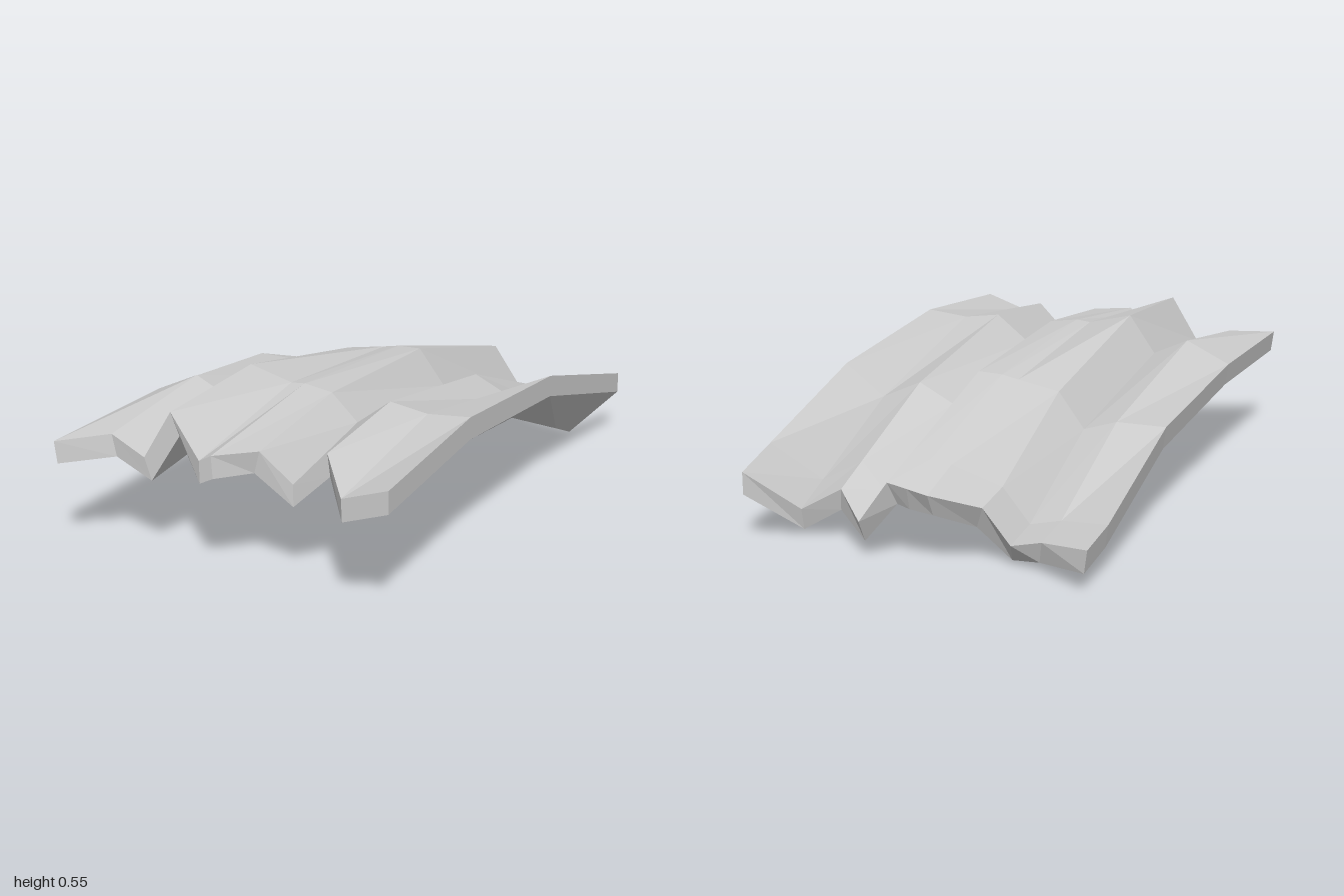
import * as THREE from 'three';

// One row per fold line: front x, z, y | crest y | back x, z, y | underside shift in x, and in z at the back
const folds = [
  [-0.615, 1.0, 0.40, 0.405, -0.6, -0.98, 0.147, 0.01, 0],
  [-0.465, 0.885, 0.415, 0.48, -0.41, -0.885, 0.112, 0.017, 0.025],
  [-0.33, 0.895, 0.36, 0.42, -0.3, -0.875, 0.082, 0.027, 0.075],
  [-0.23, 0.88, 0.53, 0.555, -0.21, -0.89, 0.2, 0.033, 0.03],
  [-0.06, 0.975, 0.425, 0.515, -0.07, -0.995, 0.255, 0, 0.04],
  [-0.015, 0.975, 0.45, 0.52, 0, -1.0, 0.27, 0.005, 0.03],
  [0.105, 0.88, 0.455, 0.505, 0.07, -0.995, 0.28, -0.02, 0.03],
  [0.2, 0.835, 0.345, 0.415, 0.175, -0.995, 0.135, 0, 0.04],
  [0.32, 0.825, 0.47, 0.51, 0.31, -0.865, 0.187, 0.01, 0.015],
  [0.455, 0.98, 0.40, 0.49, 0.46, -0.87, 0.1, 0.003, 0.02],
  [0.615, 0.975, 0.455, 0.505, 0.602, -0.995, 0.247, 0, 0],
];
const THICK = 0.077;
const { lerp } = THREE.MathUtils;

// Upper points of one fold line, from front to back
function foldLine([xF, zF, yF, yCrest, xB, zB, yB], i) {
  const yMid = lerp(yCrest - 0.06, yB + 0.2, 0.7);
  const at = (z, y) => [lerp(xB, xF, (z - zB) / (zF - zB)), y, z];
  const zNear = lerp(zB, -0.28, 0.25);
  // the folds at the left of the sheet level out near the back edge
  const yNear = i < 4 ? yB + 0.025 : lerp(yB, yMid, 0.25);
  return [[xF, yF, zF], at(0.4, yCrest), at(-0.28, yMid), at(zNear, yNear), [xB, yB, zB]];
}

export function createModel() {
  const n = folds.length;
  const lines = folds.map(foldLine);
  const rings = lines[0].length;

  // Closed cross-sections: across the top, then back along the underside
  const sections = [];
  for (let r = 0; r < rings; r++) {
    const top = lines.map((l) => l[r]);
    const backShift = [0, 0, 0, 0.7, 1][r];
    const under = top.map(([x, y, z], i) => [x + folds[i][7], y - THICK, z + folds[i][8] * backShift]);
    sections.push([...top, ...under.reverse()]);
  }

  const index = [];
  const quad = (a, b, c, d) => index.push(a, b, c, a, c, d);
  const size = 2 * n;
  // Skin between neighbouring cross-sections
  for (let r = 0; r < rings - 1; r++) {
    for (let k = 0; k < size; k++) {
      const next = (k + 1) % size;
      quad(r * size + k, r * size + next, (r + 1) * size + next, (r + 1) * size + k);
    }
  }
  // Zigzag end faces
  const last = (rings - 1) * size;
  for (let i = 0; i < n - 1; i++) {
    const j = size - 1 - i;
    quad(i, j, j - 1, i + 1);
    quad(last + i + 1, last + j - 1, last + j, last + i);
  }

  let geometry = new THREE.BufferGeometry();
  geometry.setAttribute('position', new THREE.Float32BufferAttribute(sections.flat(2), 3));
  geometry.setIndex(index);
  geometry = geometry.toNonIndexed();
  geometry.computeVertexNormals();

  const sheet = new THREE.Mesh(geometry, new THREE.MeshStandardMaterial({ color: 0xcccccc, flatShading: true }));
  sheet.name = 'corrugatedSheet';
  const group = new THREE.Group();
  group.name = 'bentCorrugatedPanel';
  group.add(sheet);
  return group;
}
